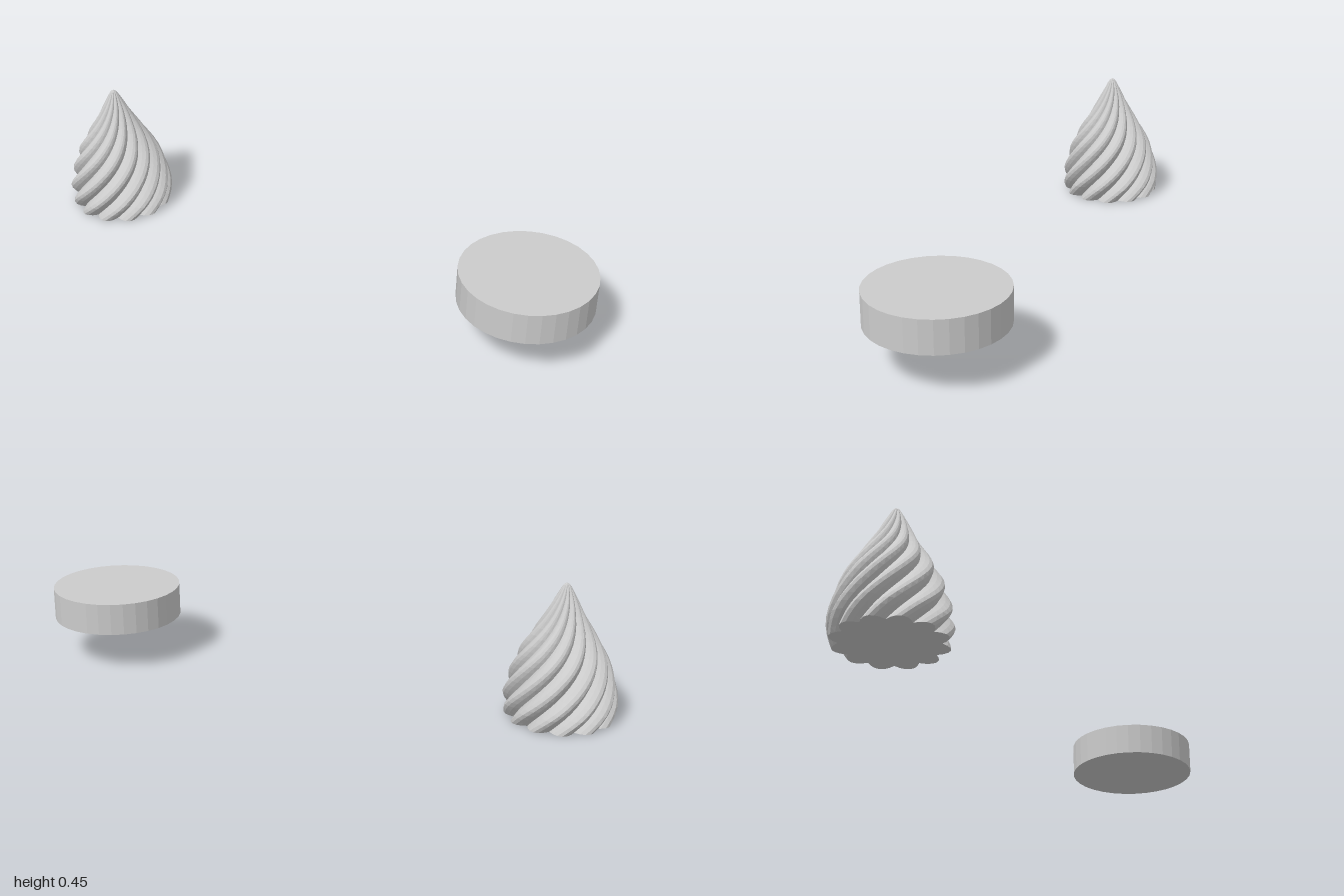
import * as THREE from 'three';

const LOBES = 12;
const COLUMNS_PER_LOBE = 6;
const RINGS = 26;
const GROOVE = 0.16; // groove depth as a share of the radius

const material = new THREE.MeshStandardMaterial({ color: 0xcccccc, flatShading: true });

// Pointed, fluted cone: a lathe whose vertices are grooved and twisted with height
function createSwirl() {
  const curve = new THREE.SplineCurve([
    [0.176, 0], [0.184, 0.055], [0.173, 0.12], [0.15, 0.19], [0.119, 0.25],
    [0.07, 0.33], [0.035, 0.395], [0.012, 0.437], [0, 0.446],
  ].map(([r, y]) => new THREE.Vector2(r, y)));
  const profile = [new THREE.Vector2(0, 0), ...curve.getPoints(RINGS)];
  profile[profile.length - 1].x = 0;

  const geometry = new THREE.LatheGeometry(profile, LOBES * COLUMNS_PER_LOBE);
  const pos = geometry.attributes.position;
  for (let i = 0; i < pos.count; i++) {
    const x = pos.getX(i), y = pos.getY(i), z = pos.getZ(i);
    const angle = Math.atan2(x, z);
    // Rounded ridges with sharp valleys between them
    const ridge = Math.abs(Math.sin(angle * LOBES / 2));
    const radius = Math.hypot(x, z) * (1 - GROOVE + GROOVE * ridge);
    // Steeper winding near the base, easing off toward the tip
    const twisted = angle + 6.4 * y - 2.2 * y * y;
    pos.setXYZ(i, radius * Math.sin(twisted), y, radius * Math.cos(twisted));
  }
  geometry.computeVertexNormals();

  const swirl = new THREE.Mesh(geometry, material);
  swirl.name = 'twistedCone';
  swirl.position.x = -0.816;
  return swirl;
}

// Plain flat disc
function createDisc() {
  const disc = new THREE.Mesh(new THREE.CylinderGeometry(0.221, 0.221, 0.109, 32), material);
  disc.name = 'disc';
  disc.position.set(0.779, 0.194, 0);
  return disc;
}

export function createModel() {
  const model = new THREE.Group();
  model.name = 'twistedConeAndDisc';
  model.add(createSwirl(), createDisc());
  return model;
}
